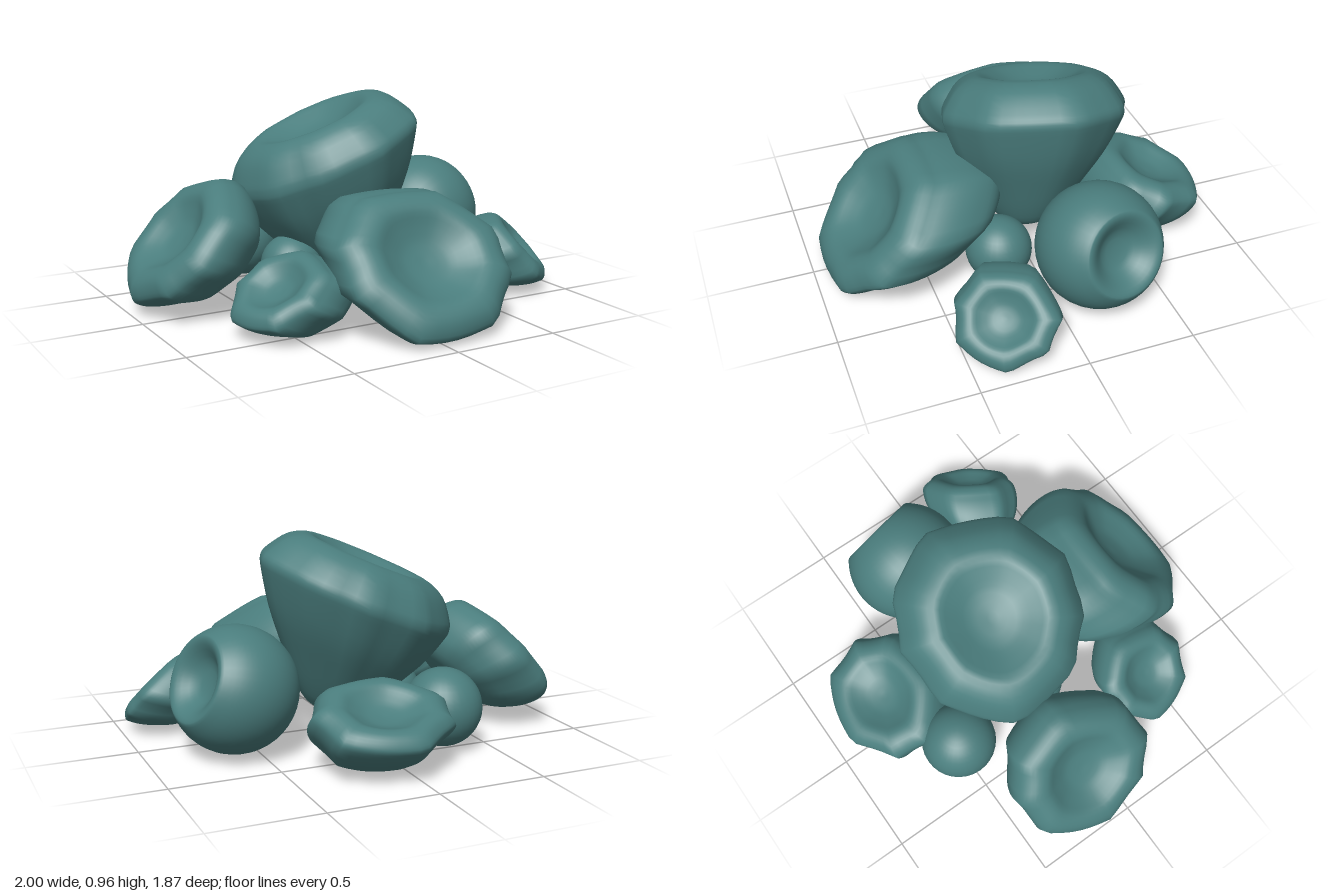
import * as THREE from 'three';
import { mergeVertices } from 'three/addons/utils/BufferGeometryUtils.js';

const SEG = 40;
const V = (a) => new THREE.Vector3(...a);

// Loops run from the dish centre, over the rim and down to the base.
// Profile points are [scale of rim, offset]: offset > 0 lifts along the facing
// direction (times rv), offset < 0 is the fraction of the way towards the base.
function rockGeometry({ rim, base, face, ru, rv, sides = 0, phase = 0, floor = 0.03, profile, rows = 36 }) {
  const c = V(rim), n = V(face).normalize();
  const axis = V(base).sub(c);
  const u = new THREE.Vector3(0, 1, 0).cross(n).normalize();
  const v = n.clone().cross(u);
  const curve = new THREE.SplineCurve(profile.map((p) => new THREE.Vector2(...p)));
  const position = [], index = [];
  for (let i = 0; i <= rows; i++) {
    const p = curve.getPoint(i / rows);
    const k = i === 0 || i === rows ? 0 : Math.max(p.x, 0);
    for (let j = 0; j < SEG; j++) {
      const a = (j / SEG) * Math.PI * 2;
      let r = k;
      if (sides) {
        // chiselled outline, softer towards the dish centre
        const step = (Math.PI * 2) / sides;
        const t = (((a + phase + 0.15 * Math.sin(2 * a + phase)) % step) + step) % step;
        const poly = 1.02 * Math.cos(step / 2) / Math.cos(t - step / 2);
        r *= 1 + (poly - 0.97) * Math.min(1, k * k * 1.3) + 0.02 * Math.sin(3 * a + phase * 2);
      }
      const q = c.clone().addScaledVector(u, ru * r * Math.cos(a)).addScaledVector(v, rv * r * Math.sin(a));
      if (p.y > 0) q.addScaledVector(n, p.y * rv);
      else q.addScaledVector(axis, -p.y);
      position.push(q.x, Math.max(q.y, floor), q.z);
      if (i < rows) {
        const j2 = (j + 1) % SEG, A = i * SEG, B = A + SEG;
        if (i < rows - 1) index.push(A + j, B + j, B + j2);
        else index.push(A + j, B + j, A + j2);
        if (i > 0 && i < rows - 1) index.push(A + j, B + j2, A + j2);
      }
    }
  }
  let g = new THREE.BufferGeometry();
  g.setAttribute('position', new THREE.Float32BufferAttribute(position, 3));
  g.setIndex(index);
  g = mergeVertices(g, 1e-5);
  g.computeVertexNormals();
  return g;
}

// Dished stone: hollow face, raised crest, full rounded back
const stone = [[0, -0.03], [0.25, 0], [0.45, 0.09], [0.63, 0.19], [0.82, 0.17], [0.96, 0.05], [1, -0.1],
  [0.98, -0.3], [0.9, -0.52], [0.75, -0.75], [0.48, -0.94], [0, -1]];
// Big cup: shallow hollow, tall crest, narrow foot
const cup = [[0, 0.19], [0.25, 0.22], [0.45, 0.3], [0.62, 0.36], [0.82, 0.27], [0.96, 0.09], [1, -0.01],
  [0.97, -0.1], [0.82, -0.35], [0.61, -0.6], [0.41, -0.82], [0.24, -0.95], [0, -1]];
// Ball with one hollow; the rim lies at 43 degrees from its pole
const ball = [[0, -0.16], [0.4, -0.14], [0.75, -0.03], [0.93, 0]];
for (let d = 46; d <= 180; d += 13.4) {
  const t = THREE.MathUtils.degToRad(d);
  ball.push([Math.sin(t) / 0.69, -(0.73 - Math.cos(t)) / 1.73]);
}

export function createModel() {
  const group = new THREE.Group();
  const teal = new THREE.MeshStandardMaterial({ color: 0x4a7d7d });
  teal.name = 'teal';
  const add = (name, geometry) => {
    const mesh = new THREE.Mesh(geometry, teal);
    mesh.name = name;
    group.add(mesh);
    return mesh;
  };

  // Large tilted cup on top
  add('topCup', rockGeometry({
    rim: [-0.005, 0.7, -0.11], base: [0.1, 0.1, -0.04], face: [-0.38, 0.92, -0.09],
    ru: 0.425, rv: 0.47, sides: 9, phase: 0.3, profile: cup,
  }));

  // Dished stones leaning around it
  add('frontStone', rockGeometry({
    rim: [0.05, 0.31, 0.68], base: [0.05, 0.28, 0.19], face: [0, 0.68, 0.73],
    ru: 0.42, rv: 0.385, sides: 8, phase: 0.4, floor: 0.005, profile: stone,
  }));
  add('rightStone', rockGeometry({
    rim: [-0.76, 0.34, -0.12], base: [-0.5, 0.22, -0.12], face: [-0.72, 0.66, 0],
    ru: 0.35, rv: 0.34, sides: 8, phase: 0.9, profile: stone,
  }));
  add('frontRightStone', rockGeometry({
    rim: [-0.54, 0.21, 0.44], base: [-0.31, 0.09, 0.44], face: [-0.52, 0.8, 0.16],
    ru: 0.24, rv: 0.235, sides: 7, phase: 0.2, profile: stone,
  }));
  add('frontLeftStone', rockGeometry({
    rim: [0.815, 0.21, 0.325], base: [0.57, 0.13, 0.22], face: [0.6, 0.68, 0.4],
    ru: 0.235, rv: 0.22, sides: 7, phase: 0.6, profile: stone,
  }));
  add('backStone', rockGeometry({
    rim: [0.1, 0.265, -0.68], base: [0.1, 0.04, -0.48], face: [0, 0.94, -0.34],
    ru: 0.315, rv: 0.265, sides: 7, phase: 0.55, floor: 0.01, profile: stone,
  }));

  // Round boulder with a hollow on its outer side
  const c = V([0.605, 0.315, -0.2]), n = V([0.9, 0.35, -0.2]).normalize();
  add('hollowBoulder', rockGeometry({
    rim: c.clone().addScaledVector(n, 0.212).toArray(), base: c.clone().addScaledVector(n, -0.29).toArray(),
    face: n.toArray(), ru: 0.2, rv: 0.2, profile: ball,
  }));

  // Plain pebbles filling the gaps
  [['backPebble', -0.28, 0.21, -0.5, 0.18],
    ['leftPebble', 0.325, 0.185, 0.18, 0.155],
    ['innerPebble', -0.24, 0.18, -0.03, 0.145]].forEach(([name, x, y, z, r]) => {
    add(name, new THREE.SphereGeometry(r, 32, 20)).position.set(x, y, z);
  });
  return group;
}
